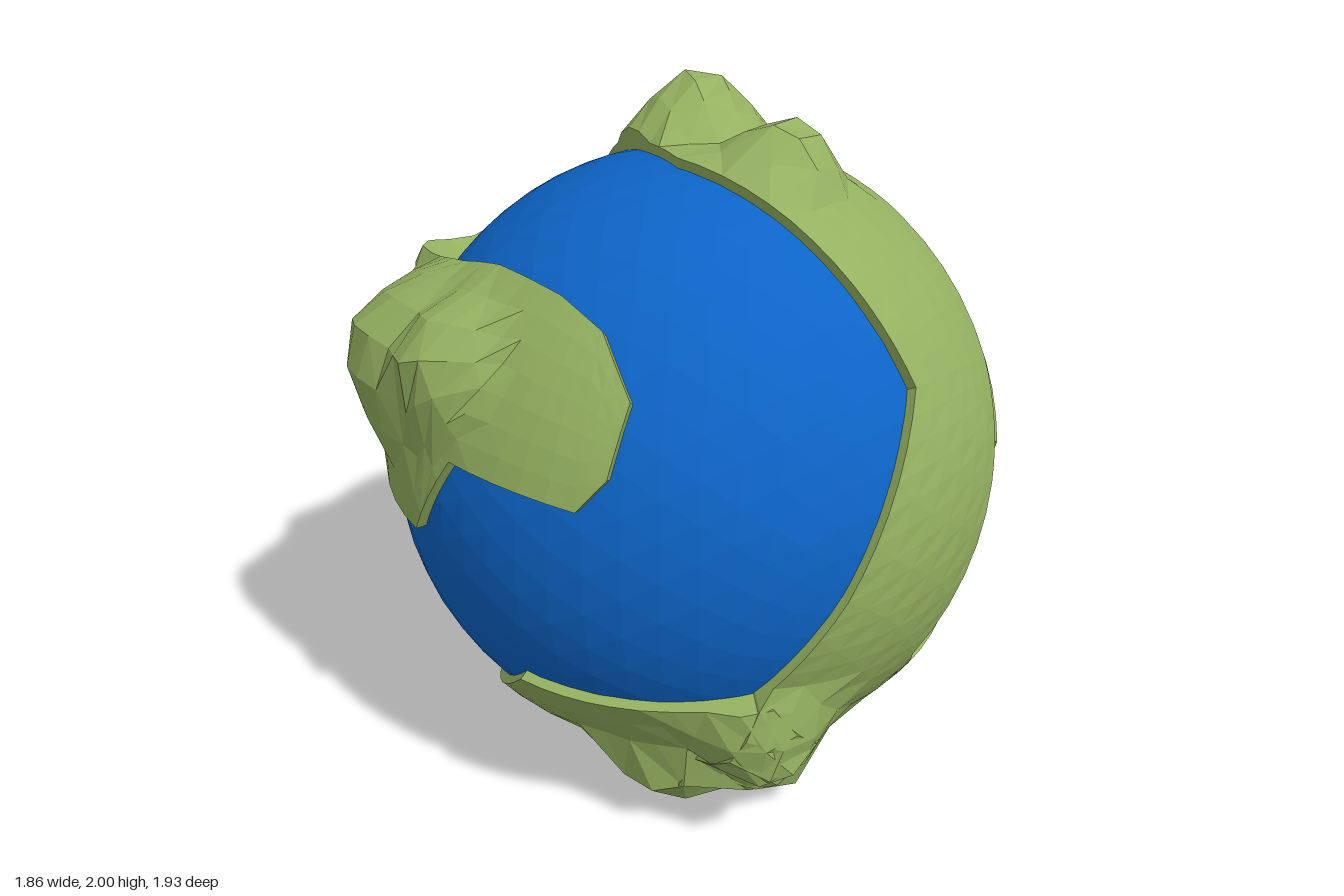
import * as THREE from 'three';

const R = 0.903, LAND = 0.932, CY = 0.93, CZ = 0.06;
const V = (x, y, z) => new THREE.Vector3(x, y, z);
const depth = (a, b) => Math.sqrt(Math.max(0, R * R - a * a - b * b));

// Points on the sphere, found from two coordinates on a chosen side
const F = (x, y) => V(x, y - CY, depth(x, y - CY));            // front
const S = (z, y) => V(depth(z - CZ, y - CY), y - CY, z - CZ);  // left flank (+x)
const T = (x, z) => V(x, depth(x, z - CZ), z - CZ);            // top
const B = (x, z) => V(x, -depth(x, z - CZ), z - CZ);           // bottom

// Mountain summits relative to the globe centre, with their spread
const peaks = [
  [V(-0.17, 1.07, -0.25), 0.27], [V(0.28, 1.02, -0.11), 0.22],
  [V(-0.62, 0.47, 0.77), 0.34], [V(-0.3, 0.53, 0.86), 0.26], [V(-0.72, 0.58, 0.4), 0.2],
  [V(0.28, 0.04, -1.02), 0.36], [V(-0.3, -0.08, -0.99), 0.32],
  [V(0.55, -0.89, 0.35), 0.26], [V(0.35, -0.85, 0.6), 0.26], [V(0.7, -0.6, 0.57), 0.26],
].map(([p, spread]) => ({ dir: p.clone().normalize(), rise: p.length() - LAND, spread }));

function raise(p) {
  const d = p.clone().normalize();
  let h = 0;
  for (const k of peaks) {
    const t = 1.2 * (1 - d.distanceTo(k.dir) / k.spread);
    h = Math.max(h, k.rise * Math.min(1, t));
  }
  return d.multiplyScalar(LAND + h);
}

// Land strip between two coastlines, lofted over the globe, with a cliff all round
function landGeometry(pairs, across) {
  const rows = [];
  const addRow = (a, b) => {
    const row = [];
    for (let j = 0; j <= across; j++) row.push(raise(a.clone().lerp(b, j / across)));
    rows.push(row);
  };
  for (let i = 0; i < pairs.length - 1; i++) {
    const [a0, b0] = pairs[i], [a1, b1] = pairs[i + 1];
    const n = Math.max(1, Math.ceil(Math.max(a0.distanceTo(a1), b0.distanceTo(b1)) / 0.09));
    for (let k = 0; k < n; k++) addRow(a0.clone().lerp(a1, k / n), b0.clone().lerp(b1, k / n));
  }
  addRow(...pairs[pairs.length - 1]);

  const pos = [];
  const tri = (a, b, c) => {
    // keep land faces turned outward
    const n = b.clone().sub(a).cross(c.clone().sub(a));
    const list = n.dot(a) < 0 ? [a, c, b] : [a, b, c];
    for (const p of list) pos.push(p.x, p.y, p.z);
  };
  const cliff = (a, b) => {
    const c = a.clone().setLength(0.88), d = b.clone().setLength(0.88);
    tri(a, b, c);
    tri(b, d, c);
  };
  const last = rows.length - 1;
  for (let i = 0; i < last; i++) {
    for (let j = 0; j < across; j++) {
      const a = rows[i][j], b = rows[i][j + 1], c = rows[i + 1][j], d = rows[i + 1][j + 1];
      if ((i + j) % 2) { tri(a, b, c); tri(b, d, c); }
      else { tri(a, b, d); tri(a, d, c); }
    }
    cliff(rows[i][0], rows[i + 1][0]);
    cliff(rows[i][across], rows[i + 1][across]);
  }
  for (let j = 0; j < across; j++) {
    cliff(rows[0][j], rows[0][j + 1]);
    cliff(rows[last][j], rows[last][j + 1]);
  }
  const g = new THREE.BufferGeometry();
  g.setAttribute('position', new THREE.Float32BufferAttribute(pos, 3));
  g.computeVertexNormals();
  return g;
}

// Over the top and down the left flank
const crownLand = [
  [T(-0.52, -0.17), T(-0.47, -0.42)],
  [T(-0.3, 0), T(-0.2, -0.54)],
  [T(-0.12, 0.1), T(-0.05, -0.42)],
  [T(0.03, 0.17), T(0.1, -0.28)],
  [T(0.4, 0.18), T(0.4, -0.31)],
  [S(0.18, 1.6), S(-0.3, 1.62)],
  [S(0.17, 1.37), S(-0.25, 1.3)],
  [S(0.48, 0.9), S(-0.12, 1.0)],
  [S(0.62, 0.6), S(0.14, 0.55)],
  [S(0.6, 0.3), S(0, 0.25)],
];

// Under the front to the south pole
const southLand = [
  [F(0.65, 0.6), V(0.457, -0.727, -0.273)],
  [F(0.3, 0.56), B(0.3, -0.17)],
  [F(0.04, 0.565), B(0.08, -0.02)],
  [F(-0.15, 0.4), B(-0.03, 0.08)],
  [F(-0.32, 0.29), B(-0.2, 0.25)],
];

// From the lower left flank up to the back
const diagonalLand = [
  [S(0.14, 0.55), S(0.1, 0.06)],
  [S(0.07, 0.45), S(-0.21, 0.2)],
  [S(-0.41, 0.52), V(0.36, -0.5, -0.65)],
  [S(-0.55, 0.7), V(0.25, -0.28, -0.82)],
  [S(-0.47, 0.93), V(0.12, -0.05, -0.89)],
  [V(0.43, 0.46, -0.64), V(-0.02, -0.17, -0.88)],
];

// Across the back, round the right flank and onto the front
const northLand = [
  [V(0.43, 0.46, -0.64), V(-0.02, -0.17, -0.88)],
  [V(0.15, 0.41, -0.79), V(-0.2, -0.18, -0.86)],
  [V(-0.09, 0.45, -0.78), V(-0.33, -0.18, -0.81)],
  [V(-0.19, 0.35, -0.81), V(-0.42, -0.18, -0.78)],
  [V(-0.557, 0.357, -0.61), V(-0.7, -0.17, -0.54)],
  [V(-0.59, 0.44, -0.525), V(-0.77, -0.16, -0.436)],
  [V(-0.806, 0.366, -0.17), V(-0.82, -0.02, -0.375)],
  [V(-0.72, 0.53, -0.08), V(-0.88, -0.02, -0.1)],
  [V(-0.66, 0.52, 0.25), V(-0.877, -0.02, 0.2)],
  [V(-0.62, 0.53, 0.36), V(-0.82, 0.12, 0.34)],
  [V(-0.58, 0.56, 0.41), V(-0.79, 0.12, 0.41)],
  [F(-0.45, 1.54), F(-0.76, 0.935)],
  [F(-0.2, 1.61), F(-0.28, 0.935)],
  [F(0.05, 1.6), F(-0.13, 1.185)],
  [F(0.2, 1.55), F(0.27, 1.165)],
  [F(0.33, 1.42), F(0.33, 1.25)],
];

export function createModel() {
  const oceanBlue = new THREE.MeshStandardMaterial({ name: 'oceanBlue', color: 0x0d64c6, flatShading: true });
  const landGreen = new THREE.MeshStandardMaterial({
    name: 'landGreen', color: 0x94b060, flatShading: true, side: THREE.DoubleSide,
  });

  const globe = new THREE.Group();
  globe.name = 'globe';
  const add = (name, geometry, material) => {
    const mesh = new THREE.Mesh(geometry, material);
    mesh.name = name;
    globe.add(mesh);
  };
  add('ocean', new THREE.IcosahedronGeometry(R, 9), oceanBlue);
  add('crownLand', landGeometry(crownLand, 6), landGreen);
  add('southLand', landGeometry(southLand, 9), landGreen);
  add('diagonalLand', landGeometry(diagonalLand, 7), landGreen);
  add('northLand', landGeometry(northLand, 7), landGreen);
  globe.position.set(0, CY, CZ);

  const model = new THREE.Group();
  model.name = 'model';
  model.add(globe);
  return model;
}
